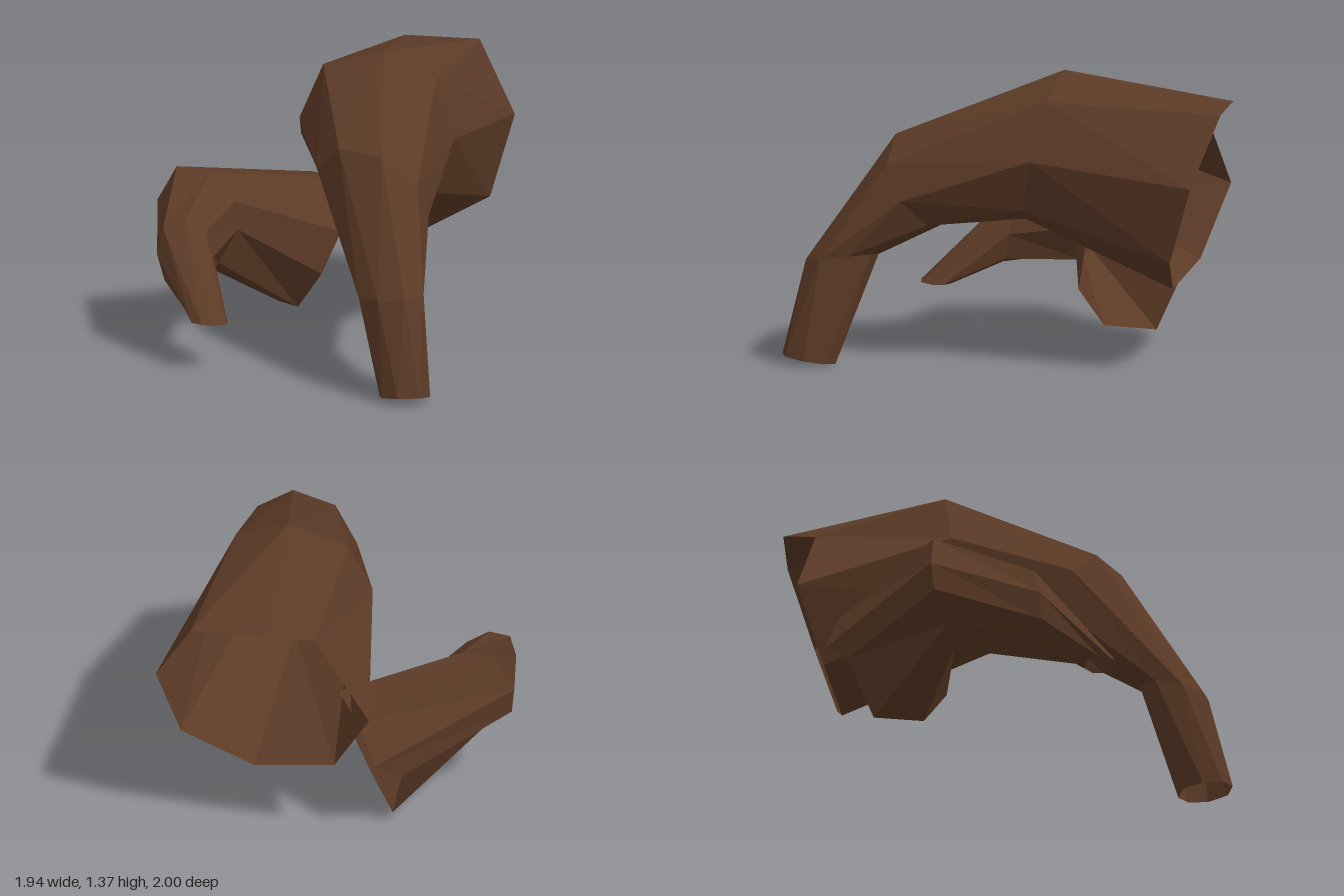
import * as THREE from 'three';

// Completes an eight-sided ring: four corners, then the same four mirrored through its centre
const mirrored = (centre, ...corners) => [
  ...corners,
  ...corners.map((p) => p.map((v, k) => 2 * centre[k] - v)),
];

// Cross-sections from the tip to the wide open end
const LARGE_RINGS = [
  mirrored([-0.49, 0.02, 0.87], [-0.59, 0.04, 0.95], [-0.50, 0.04, 1.0], [-0.41, 0.025, 0.96], [-0.365, 0.01, 0.875]),
  mirrored([-0.455, 0.49, 0.705], [-0.58, 0.47, 0.78], [-0.50, 0.49, 0.88], [-0.39, 0.50, 0.88], [-0.32, 0.515, 0.77]),
  mirrored([-0.29, 0.86, 0.34], [-0.42, 1.07, 0.25], [-0.34, 1.065, 0.48], [-0.23, 0.95, 0.61], [-0.15, 0.78, 0.59]),
  [
    [-0.06, 1.29, -0.37], [0.13, 1.37, -0.15], [0.28, 1.26, 0.06], [0.30, 0.99, 0.17],
    [0.19, 0.74, 0.13], [0.0, 0.66, -0.02], [-0.14, 0.77, -0.27], [-0.16, 1.04, -0.42],
  ],
  [
    [0.41, 1.14, -0.76], [0.67, 1.24, -0.73], [0.92, 1.235, -0.48], [0.97, 0.91, -0.27],
    [0.82, 0.54, -0.26], [0.55, 0.36, -0.47], [0.32, 0.44, -0.79], [0.27, 0.77, -1.0],
  ],
];
const SMALL_RINGS = [
  mirrored([-0.885, 0.225, -0.135], [-0.97, 0.23, -0.16], [-0.955, 0.23, -0.10], [-0.90, 0.225, -0.06], [-0.83, 0.22, -0.075]),
  mirrored([-0.785, 0.46, -0.465], [-0.90, 0.47, -0.53], [-0.865, 0.59, -0.53], [-0.78, 0.62, -0.48], [-0.69, 0.57, -0.43]),
  mirrored([-0.50, 0.55, -0.76], [-0.60, 0.60, -0.94], [-0.54, 0.765, -0.87], [-0.45, 0.75, -0.73], [-0.40, 0.63, -0.60]),
  [
    [0.17, 0.44, -0.91], [0.20, 0.64, -0.80], [0.14, 0.67, -0.57], [0.02, 0.475, -0.34],
    [-0.07, 0.28, -0.37], [-0.09, 0.09, -0.53], [-0.02, 0.055, -0.78], [0.02, 0.33, -0.91],
  ],
];

// Joins the rings into an open faceted tube
function ringTube(rings) {
  const index = [];
  for (let i = 0; i < rings.length - 1; i++) {
    for (let j = 0; j < 8; j++) {
      const a = i * 8 + j;
      const b = i * 8 + (j + 1) % 8;
      index.push(a, b, b + 8, a, b + 8, a + 8);
    }
  }
  const geometry = new THREE.BufferGeometry();
  geometry.setAttribute('position', new THREE.Float32BufferAttribute(rings.flat(2), 3));
  geometry.setIndex(index);
  const flat = geometry.toNonIndexed();
  flat.computeVertexNormals();
  return flat;
}

export function createModel() {
  const group = new THREE.Group();
  group.name = 'roots';

  const bark = new THREE.MeshStandardMaterial({ color: 0x5c3a26, flatShading: true, side: THREE.DoubleSide });
  bark.name = 'bark brown';

  // Large arching root, open at both ends
  const large = new THREE.Mesh(ringTube(LARGE_RINGS), bark);
  large.name = 'largeRoot';

  // Smaller root branching behind it
  const small = new THREE.Mesh(ringTube(SMALL_RINGS), bark);
  small.name = 'smallRoot';

  group.add(large, small);
  return group;
}
